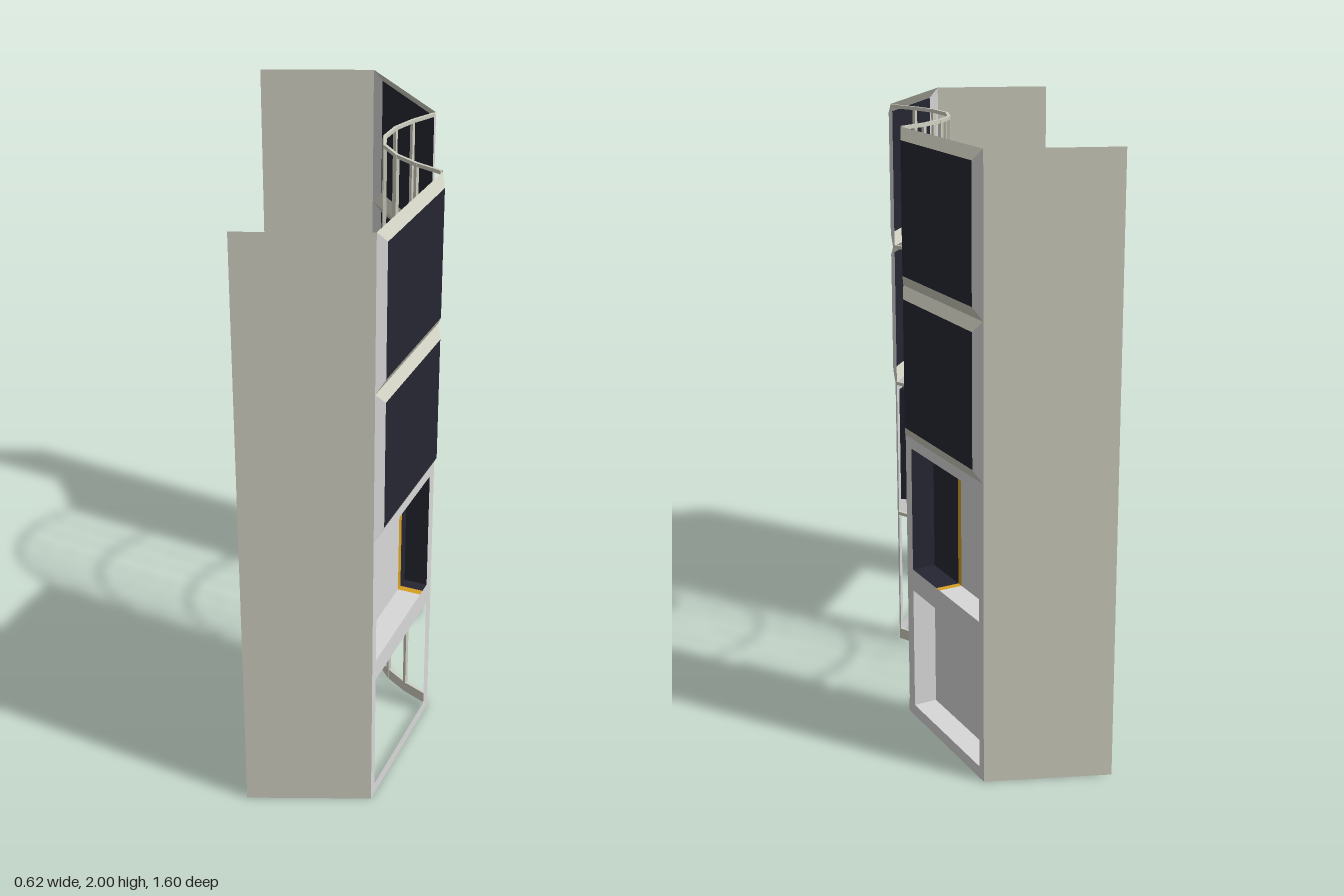
import * as THREE from 'three';

const mat = (name, color) => {
  const m = new THREE.MeshStandardMaterial({ color, side: THREE.DoubleSide });
  m.name = name;
  return m;
};

export function createModel() {
  const root = new THREE.Group();
  const paleGrey = mat('paleGrey', 0xd8d8d8);
  const stone = mat('stone', 0xd0d0c2);
  const darkGlass = mat('darkGlass', 0x262633);
  const amber = mat('amber', 0xd69f24);

  // Flat faces from lists of four corners
  const quads = (name, material, list, parent) => {
    const pos = [];
    for (const [a, b, c, d] of list) for (const p of [a, b, c, a, c, d]) pos.push(...p);
    const g = new THREE.BufferGeometry();
    g.setAttribute('position', new THREE.Float32BufferAttribute(pos, 3));
    g.computeVertexNormals();
    const mesh = new THREE.Mesh(g, material);
    mesh.name = name;
    parent.add(mesh);
  };

  // Slanted bay wall: u runs from the outer to the inner edge, w points outward
  const X0 = 0.1, Z0 = 0.8, X1 = 0.302, Z1 = 0.3;
  const L = Math.hypot(X1 - X0, Z1 - Z0);
  const du = [(X1 - X0) / L, (Z1 - Z0) / L];
  const U0 = 0.03, U1 = L - 0.041, DEPTH = 0.08;

  for (const side of [1, -1]) {
    const wall = new THREE.Group();
    wall.name = side > 0 ? 'leftBayWall' : 'rightBayWall';
    root.add(wall);
    const P = (u, y, w) => [X0 + du[0] * u - du[1] * w, y, side * (Z0 + du[1] * u + du[0] * w)];
    // keep outward faces wound to the front on both sides
    const Q = (...c) => (side > 0 ? c : c.reverse());

    // Frames: flat around the niches, sloping outward around the windows
    for (let row = 0; row < 4; row++) {
      const y0 = row * 0.5, y1 = y0 + 0.5, a = y0 + 0.04, b = y1 - 0.035;
      const w = row > 1 ? 0.022 : 0;
      const o = [P(0, y0, 0), P(L, y0, 0), P(L, y1, 0), P(0, y1, 0)];
      const i = [P(U0, a, w), P(U1, a, w), P(U1, b, w), P(U0, b, w)];
      const band = k => Q(o[k], o[(k + 1) % 4], i[(k + 1) % 4], i[k]);
      quads('frameSides', paleGrey, [band(1), band(3)], wall);
      quads('frameRails', row > 1 ? stone : paleGrey, [band(0), band(2)], wall);
      if (row > 1) quads('windowPane', darkGlass, [Q(...i)], wall);
    }

    // Niche shell, built in coloured sections along the wall
    const niche = (name, a, b, cuts, mats) => {
      const g = new THREE.Group();
      g.name = name;
      wall.add(g);
      const end = u => Q(P(u, a, 0), P(u, b, 0), P(u, b, -DEPTH), P(u, a, -DEPTH));
      mats.forEach((m, k) => {
        const s = cuts[k], t = cuts[k + 1];
        const list = [
          Q(P(s, a, -DEPTH), P(t, a, -DEPTH), P(t, b, -DEPTH), P(s, b, -DEPTH)),
          Q(P(s, a, 0), P(t, a, 0), P(t, a, -DEPTH), P(s, a, -DEPTH)),
          Q(P(s, b, -DEPTH), P(t, b, -DEPTH), P(t, b, 0), P(s, b, 0)),
        ];
        if (k === 0) list.push(end(s).reverse());
        if (k === mats.length - 1) list.push(end(t));
        quads('nicheSection', m, list, g);
      });
    };
    const stripe = side > 0 ? [L - 0.105, L - 0.081] : [L - 0.237, L - 0.215];
    niche('stripedNiche', 0.54, 0.965, [U0, ...stripe, U1], [paleGrey, amber, darkGlass]);
    if (side < 0) niche('lowerNiche', 0.04, 0.465, [U0, U1], [paleGrey]);

    // Narrow return beside the curved screen
    quads('cornerReturn', paleGrey, [
      Q([X1, 0, side * Z1], [0.298, 0, side * 0.28], [0.298, 2, side * 0.28], [X1, 2, side * Z1]),
    ], wall);

    // Plain end sheet
    quads('endSheet', stone, [
      Q([-0.31, 0, side * Z0], [X0, 0, side * Z0], [X0, 2, side * Z0], [-0.31, 2, side * Z0]),
    ], root);
  }

  // Curved screen: seven straight bays with rails and uprights
  const half = [[0.131, 0.045], [0.167, 0.138], [0.225, 0.216], [0.298, 0.287]];
  const path = [...half.map(([x, z]) => [x, -z]).reverse(), ...half];
  const screen = new THREE.Group();
  screen.name = 'curvedScreen';
  root.add(screen);
  const box = (name, w, h, d, x, y, z, turn) => {
    const m = new THREE.Mesh(new THREE.BoxGeometry(w, h, d), stone);
    m.name = name;
    m.position.set(x, y, z);
    m.rotation.y = turn;
    screen.add(m);
  };
  const rails = [[0.02, 0.04], [0.505, 0.012], [1.005, 0.012], [1.505, 0.012], [1.994, 0.012]];
  for (let k = 0; k < path.length - 1; k++) {
    const [xa, za] = path[k], [xb, zb] = path[k + 1];
    const dx = xb - xa, dz = zb - za;
    for (const [y, h] of rails)
      box(h > 0.02 ? 'baseBand' : 'rail', 0.01, h, Math.hypot(dx, dz) + 0.003,
        (xa + xb) / 2, y, (za + zb) / 2, Math.atan2(dx, dz));
  }
  for (let k = 1; k < path.length - 1; k++) {
    const [x, z] = path[k];
    const turn = Math.atan2(path[k + 1][0] - path[k - 1][0], path[k + 1][1] - path[k - 1][1]);
    box('upright', 0.011, 1.996, 0.012, x, 1, z, turn);
  }
  return root;
}
